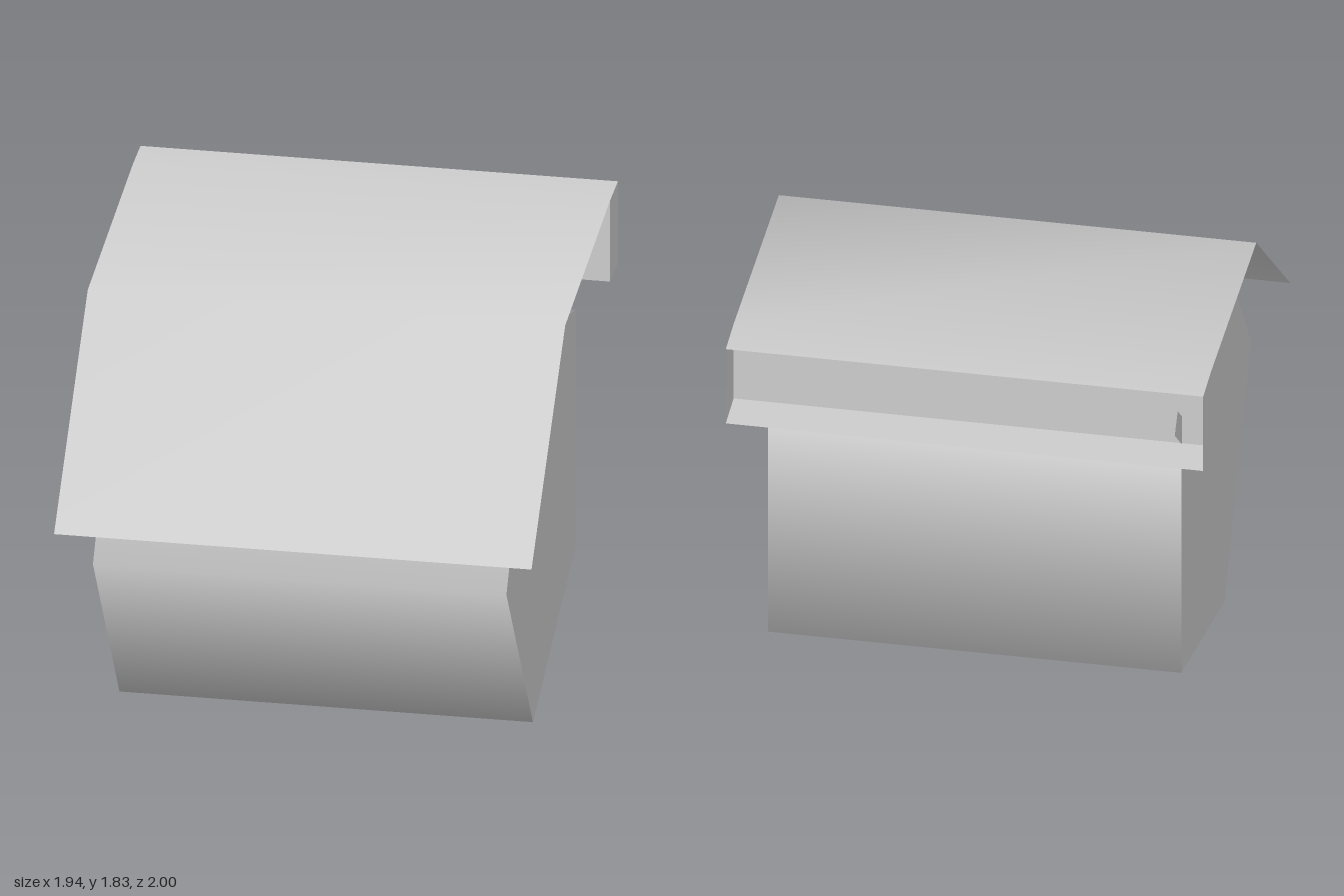
import * as THREE from 'three';

export function createModel() {
  const model = new THREE.Group();
  const grey = new THREE.MeshStandardMaterial({ color: 0xcccccc, side: THREE.DoubleSide });
  grey.name = 'light grey';

  const add = (name, geometry) => {
    const mesh = new THREE.Mesh(geometry, grey);
    mesh.name = name;
    model.add(mesh);
    return mesh;
  };

  // Five-sided drum lying along x, one corner pointing forward
  const drum = add('drum', new THREE.CylinderGeometry(0.887, 0.887, 1.68, 5).rotateZ(Math.PI / 2));
  drum.position.set(0, 0.844, -0.047);

  // Folded sheet over the drum, bent along a [z, y] profile from back to front
  const halfWidth = 0.97;
  const profile = [[-1, 1.835], [-0.82, 1.835], [0.22, 1.76], [1, 1.04]];
  const sheet = new THREE.PlaneGeometry(2 * halfWidth, 1, 1, profile.length - 1);
  const pos = sheet.attributes.position;
  for (let i = 0; i < pos.count; i++) {
    const [z, y] = profile[Math.floor(i / 2)];
    pos.setXYZ(i, pos.getX(i), y, z);
  }
  sheet.computeVertexNormals();
  add('coverSheet', sheet);

  // Channel under the back of the sheet, open to the rear
  const top = 1.835, bottom = 1.475, front = -0.82, depth = 0.18;
  const height = top - bottom;
  const middleY = (top + bottom) / 2, middleZ = front - depth / 2;
  add('channelPanel', new THREE.PlaneGeometry(2 * halfWidth, height))
    .position.set(0, middleY, front);
  add('channelFloor', new THREE.PlaneGeometry(2 * halfWidth, depth).rotateX(Math.PI / 2))
    .position.set(0, bottom, middleZ);
  for (const side of [-1, 1]) {
    add(side > 0 ? 'leftChannelEnd' : 'rightChannelEnd',
      new THREE.PlaneGeometry(depth, height).rotateY(side * Math.PI / 2))
      .position.set(side * halfWidth, middleY, middleZ);
  }

  // Flat slanted arm joining the drum's right end to the channel
  const arm = add('supportArm', new THREE.PlaneGeometry(1.12, 0.1).rotateY(-Math.PI / 2));
  arm.rotation.x = Math.atan2(0.76, 0.82);
  arm.position.set(-0.852, 1.278, -0.541);

  return model;
}
